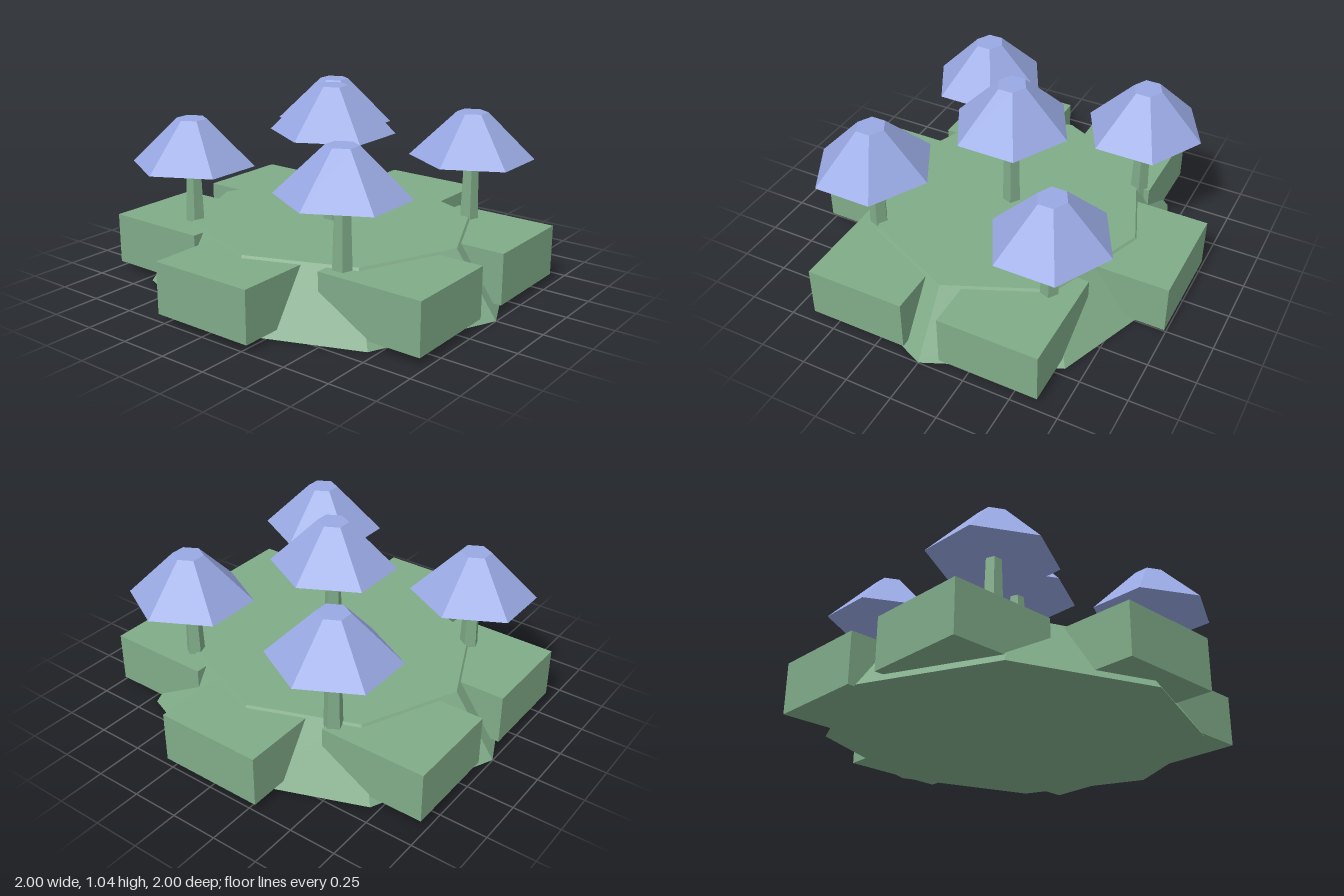
import * as THREE from 'three';

const green = new THREE.MeshStandardMaterial({ color: 0x80ab88, flatShading: true });
green.name = 'leaf green';
const blue = new THREE.MeshStandardMaterial({ color: 0x98a8e2, flatShading: true });
blue.name = 'soft blue';

const DEPTH = 1.08; // everything is slightly longer along z

// Tapered prism standing between two heights, with a corner on +x
function prism(name, rTop, rBottom, y0, y1, sides, material) {
  const geo = new THREE.CylinderGeometry(rTop, rBottom, y1 - y0, sides, 1, false, Math.PI / 2);
  geo.scale(1, 1, DEPTH);
  geo.translate(0, (y0 + y1) / 2, 0);
  const mesh = new THREE.Mesh(geo, material);
  mesh.name = name;
  return mesh;
}

function block(name, x, z) {
  const mesh = new THREE.Mesh(new THREE.BoxGeometry(0.53, 0.27, 0.57), green);
  mesh.position.set(x, 0.175, z);
  mesh.name = name;
  return mesh;
}

// Five-sided trunk under a six-sided cap
function tree(name, x, z, capY) {
  const group = new THREE.Group();
  group.name = name;
  group.add(prism('trunk', 0.037, 0.051, 0.2, capY + 0.02, 5, green));
  group.add(prism('canopy', 0.077, 0.31, capY, capY + 0.243, 6, blue));
  group.position.set(x, 0, z);
  return group;
}

export function createModel() {
  const model = new THREE.Group();
  model.name = 'treeIsland';

  // Eight-sided sloping mound
  model.add(prism('mound', 0.71, 0.925, 0, 0.323, 8, green));

  // Six blocks around the rim
  for (const [side, sx] of [['left', 1], ['right', -1]]) {
    model.add(block(side + 'SideBlock', sx * 0.735, -0.003));
    model.add(block(side + 'FrontBlock', sx * 0.365, 0.685));
    model.add(block(side + 'BackBlock', sx * 0.365, -0.688));
  }

  // Trees
  model.add(tree('centreTree', 0, 0, 0.797));
  model.add(tree('backRightTree', -0.44, -0.58, 0.62));
  model.add(tree('backLeftTree', 0.565, -0.423, 0.695));
  model.add(tree('frontRightTree', -0.537, 0.472, 0.665));
  model.add(tree('frontLeftTree', 0.487, 0.546, 0.644));

  return model;
}
